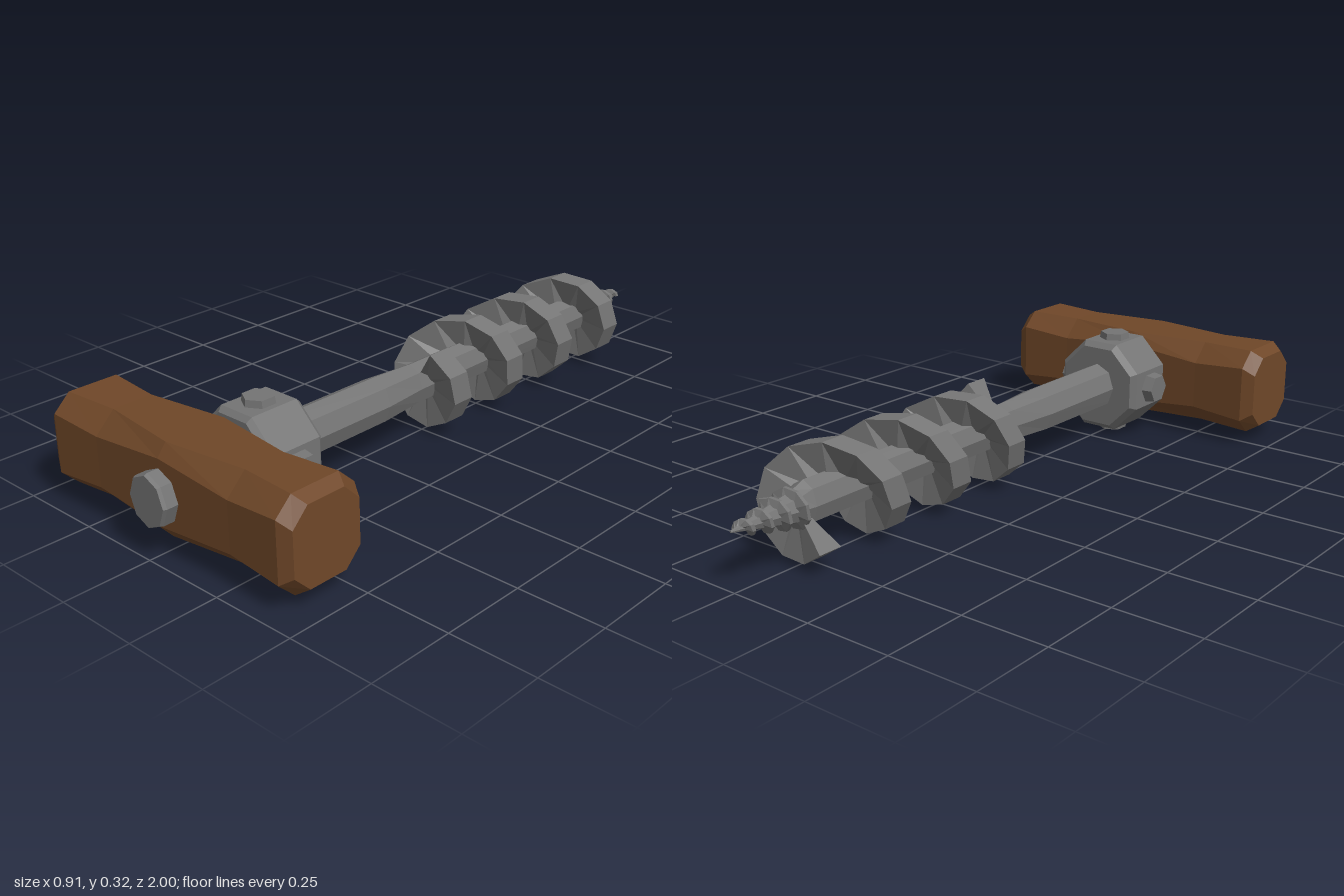
import * as THREE from 'three';

const AXIS_Y = 0.163;
const TAU = Math.PI * 2;
const V = (x, y, z) => new THREE.Vector3(x, y, z);

// Closed skin over a list of rings, capped at both ends.
function loft(rings) {
  const pos = [];
  const tri = (...p) => p.forEach((v) => pos.push(v.x, v.y, v.z));
  const n = rings[0].length;
  for (let i = 0; i < rings.length - 1; i++) {
    for (let j = 0; j < n; j++) {
      const k = (j + 1) % n;
      const [a, b, c, d] = [rings[i][j], rings[i][k], rings[i + 1][k], rings[i + 1][j]];
      tri(a, b, c);
      tri(a, c, d);
    }
  }
  const first = rings[0], last = rings[rings.length - 1];
  for (let j = 1; j < n - 1; j++) {
    tri(first[0], first[j + 1], first[j]);
    tri(last[0], last[j], last[j + 1]);
  }
  const g = new THREE.BufferGeometry();
  g.setAttribute('position', new THREE.Float32BufferAttribute(pos, 3));
  g.computeVertexNormals();
  return g;
}

// Eight-sided ring around the drill axis.
function octagon(z, rx, ry, turn = 0) {
  return Array.from({ length: 8 }, (_, j) => {
    const a = (j / 8) * TAU + turn;
    return V(Math.cos(a) * rx, AXIS_Y + Math.sin(a) * ry, z);
  });
}

// Wedge-shaped blade swept around the drill axis; at(t) gives its shape.
function spiral(steps, at) {
  const rings = [];
  for (let i = 0; i <= steps; i++) {
    const { a, z, ri, ro, wi, wo } = at(i / steps);
    rings.push([[ri, wi], [ro, wo], [ro, -wo], [ri, -wi]].map(([r, w]) =>
      V(Math.cos(a) * r, AXIS_Y + Math.sin(a) * r, z + w)));
  }
  return loft(rings);
}

export function createModel() {
  const model = new THREE.Group();
  const wood = new THREE.MeshStandardMaterial({ color: 0x6f4728 });
  wood.name = 'brown wood';
  const steel = new THREE.MeshStandardMaterial({ color: 0x747474 });
  steel.name = 'grey steel';
  wood.flatShading = steel.flatShading = true;

  const add = (name, geometry, material) => {
    const mesh = new THREE.Mesh(geometry, material);
    mesh.name = name;
    model.add(mesh);
    return mesh;
  };

  // Hewn wooden grip: x, half height, half depth, half flat height, half flat depth
  const half = [
    [0.455, 0.11, 0.106, 0.062, 0.058],
    [0.42, 0.132, 0.125, 0.085, 0.075],
    [0.25, 0.129, 0.119, 0.072, 0.06],
    [0, 0.13, 0.12, 0.095, 0.092],
  ];
  const stations = [
    ...half.map(([x, ...s]) => [-x, ...s]),
    ...half.slice(0, 3).reverse(),
  ];
  add('handle', loft(stations.map(([x, hy, hz, fy, fz]) =>
    [[hy, -fz], [hy, fz], [fy, hz], [-fy, hz], [-hy, fz], [-hy, -fz], [-fy, -hz], [fy, -hz]]
      .map(([y, z]) => V(x, 0.169 + y, 0.832 + z)))), wood);

  // Shaft running from the screw point to the collar
  add('shaft', loft([
    [-1, 0.003, 0.003], [-0.8, 0.04, 0.045], [-0.76, 0.046, 0.062],
    [0.05, 0.048, 0.064], [0.2, 0.062, 0.071], [0.6, 0.062, 0.073],
  ].map(([z, rx, ry]) => octagon(z, rx, ry))), steel);

  // End of the shaft showing through the front of the handle
  add('endCap', loft([
    octagon(0.9, 0.068, 0.075), octagon(0.985, 0.068, 0.075), octagon(0.995, 0.064, 0.071),
  ]), steel);

  // Octagonal collar with bevelled edges
  const k = 1 / Math.cos(Math.PI / 8);
  add('collar', loft([
    [0.53, 0.124], [0.548, 0.14], [0.7, 0.14], [0.715, 0.126],
  ].map(([z, r]) => octagon(z, r * k, r * k, Math.PI / 8))), steel);

  // Four hexagonal bolts around the collar
  for (let i = 0; i < 4; i++) {
    const reach = i % 2 ? 0.172 : 0.16;
    const geo = new THREE.CylinderGeometry(0.044, 0.052, 0.05, 6);
    geo.translate(0, reach - 0.025, 0);
    geo.rotateZ((i * Math.PI) / 2);
    add('collarBolt', geo, steel).position.set(0, AXIS_Y, 0.625);
  }

  // Large cutting spiral, slightly tilted on the shaft
  const a0 = -0.78 * Math.PI, a1 = 6 * Math.PI + 0.3 * Math.PI;
  add('augerBlade', spiral(38, (t) => {
    const a = a0 + (a1 - a0) * t;
    const z = -0.72 + (a / TAU) * 0.245 - 0.03 * Math.cos(a) - 0.012 * Math.sin(a);
    return { a, z, ri: 0.03, ro: 0.146, wi: 0.012, wo: 0.037 };
  }), steel);

  // Fine tapering thread on the screw point
  add('tipThread', spiral(36, (t) => ({
    a: t * 4 * TAU,
    z: -0.975 + t * 0.2,
    ri: 0.002 + t * 0.03,
    ro: 0.02 + t * 0.046,
    wi: 0.018,
    wo: 0.005,
  })), steel);

  return model;
}
